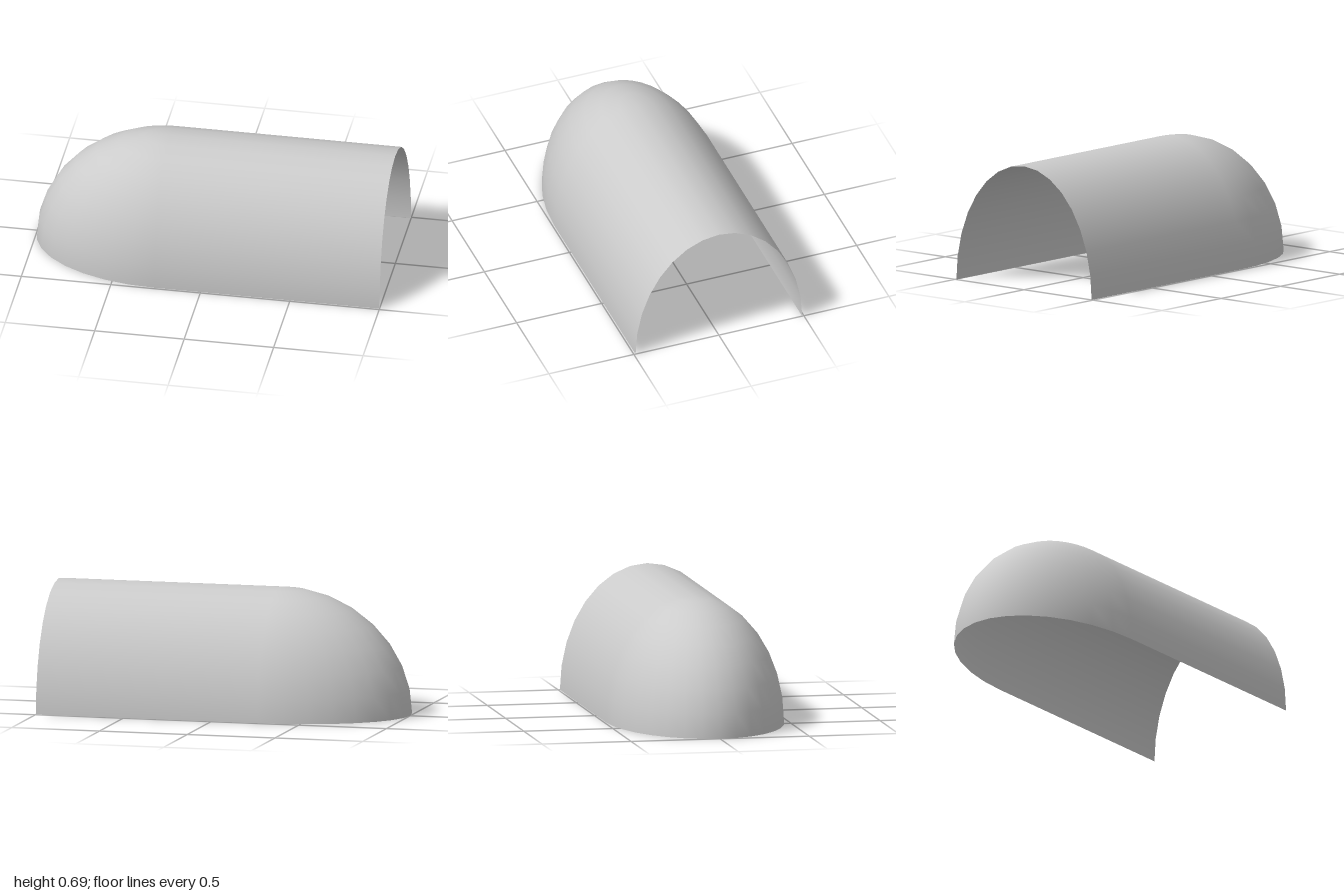
import * as THREE from 'three';

const HEIGHT = 0.69;      // crown of the arch
const HALF_WIDTH = 0.49;  // half the span at the ground
const JOIN_X = -0.26;     // where the vault meets the rounded end
const SEGMENTS = 16;      // sides around the half arch

export function createModel() {
  const group = new THREE.Group();
  group.name = 'archedShelter';
  const material = new THREE.MeshStandardMaterial({ color: 0xcccccc, side: THREE.DoubleSide });

  const add = (name, geometry) => {
    const mesh = new THREE.Mesh(geometry, material);
    mesh.name = name;
    group.add(mesh);
  };

  // Straight vault: open half cylinder along x, stretched to an elliptical arch
  const vault = new THREE.CylinderGeometry(1, 1, 1, SEGMENTS, 1, true, 0, Math.PI);
  vault.rotateZ(Math.PI / 2);
  vault.scale(1 - JOIN_X, HEIGHT, HALF_WIDTH);
  vault.translate((1 + JOIN_X) / 2, 0, 0);
  add('vault', vault);

  // Rounded end: quarter ellipsoid closing the -x side
  const dome = new THREE.SphereGeometry(
    1, SEGMENTS, SEGMENTS / 2, -Math.PI / 2, Math.PI, 0, Math.PI / 2);
  dome.scale(1 + JOIN_X, HEIGHT, HALF_WIDTH);
  dome.translate(JOIN_X, 0, 0);
  add('roundedEnd', dome);

  return group;
}
